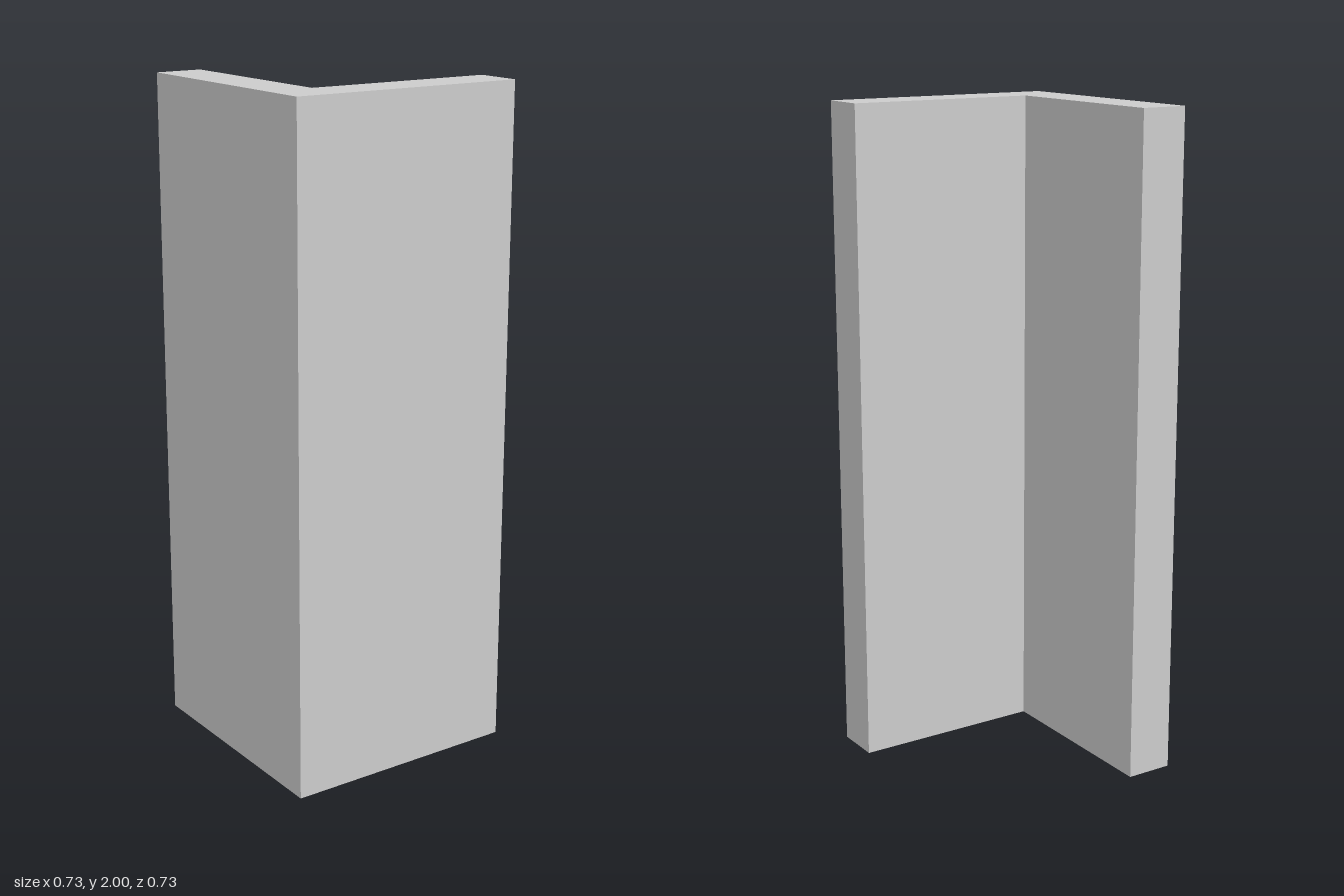
import * as THREE from 'three';

const HALF = 0.363;      // half the length of each leg
const THICKNESS = 0.144;
const HEIGHT = 2;

export function createModel() {
  const group = new THREE.Group();
  group.name = 'angleProfile';

  // L-shaped cross-section: one leg along the front, one along the -x side
  const inner = -HALF + THICKNESS;
  const section = new THREE.Shape([
    [-HALF, -HALF], [HALF, -HALF], [HALF, inner],
    [inner, inner], [inner, HALF], [-HALF, HALF],
  ].map(([x, y]) => new THREE.Vector2(x, y)));

  // Extruded and stood upright on the ground
  const geometry = new THREE.ExtrudeGeometry(section, { depth: HEIGHT, bevelEnabled: false });
  geometry.rotateX(-Math.PI / 2);

  const bar = new THREE.Mesh(geometry, new THREE.MeshStandardMaterial({ color: 0xcccccc }));
  bar.name = 'cornerPost';
  group.add(bar);
  return group;
}
